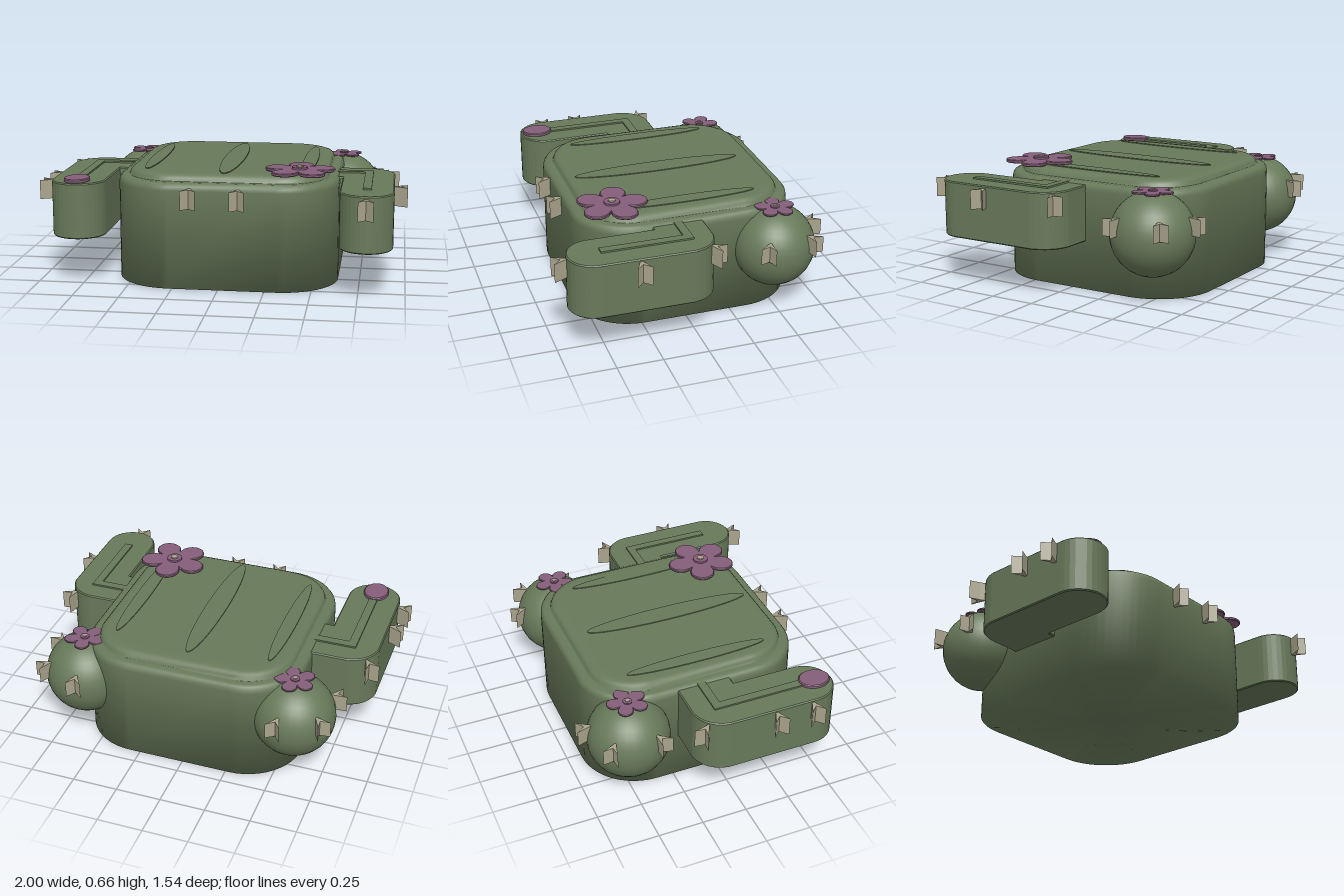
import * as THREE from 'three';

const mat = (name, color) => {
  const m = new THREE.MeshStandardMaterial({ color });
  m.name = name;
  return m;
};

export function createModel() {
  const root = new THREE.Group();
  root.name = 'cactusPad';
  const green = mat('cactusGreen', 0x687a5a);
  const purple = mat('petalPurple', 0x865e7a);
  const tan = mat('spineTan', 0xaaa58d);

  const add = (name, geometry, material, x = 0, y = 0, z = 0, parent = root) => {
    const mesh = new THREE.Mesh(geometry, material);
    mesh.name = name;
    mesh.position.set(x, y, z);
    parent.add(mesh);
    return mesh;
  };
  // Plan-view shape (x, -z) raised upwards
  const raise = (shape, depth, bevel = 0, curveSegments = 8) =>
    new THREE.ExtrudeGeometry(shape, {
      depth: depth - 2 * bevel, curveSegments, bevelEnabled: bevel > 0,
      bevelSize: bevel, bevelOffset: -bevel, bevelThickness: bevel, bevelSegments: 1,
    }).rotateX(-Math.PI / 2).translate(0, bevel, 0);

  // Body: rounded-square rings stacked by [inset, height], closed at both ends
  const profile = [
    [0, 0], [0, 0.54], [0.004, 0.56], [0.014, 0.574], [0.03, 0.58], [0.055, 0.58], [0.06, 0.582],
    [0.064, 0.598], [0.075, 0.611], [0.095, 0.618], [0.12, 0.619], [0.15, 0.619],
  ];
  const cx = 0.02, cz = -0.058, half = 0.611, radius = 0.32, steps = 12;
  const count = 4 * (steps + 1);
  const pos = [], index = [];
  for (const [inset, y] of profile) {
    for (let c = 0; c < 4; c++) {
      const mid = Math.PI / 4 + c * Math.PI / 2;
      const core = half - radius;
      for (let s = 0; s <= steps; s++) {
        const a = (c + s / steps) * Math.PI / 2;
        pos.push(cx + Math.sign(Math.cos(mid)) * core + Math.cos(a) * (radius - inset), y,
          cz - Math.sign(Math.sin(mid)) * core - Math.sin(a) * (radius - inset));
      }
    }
  }
  const bottom = pos.length / 3, top = bottom + 1, last = (profile.length - 1) * count;
  pos.push(cx, 0, cz, cx, 0.619, cz);
  for (let j = 0; j < count; j++) {
    const k = (j + 1) % count;
    for (let i = 0; i < profile.length - 1; i++) {
      const a = i * count + j, b = i * count + k;
      index.push(a, b, b + count, a, b + count, a + count);
    }
    index.push(k, j, bottom, last + j, last + k, top);
  }
  const bodyGeo = new THREE.BufferGeometry();
  bodyGeo.setAttribute('position', new THREE.Float32BufferAttribute(pos, 3));
  bodyGeo.setIndex(index);
  bodyGeo.computeVertexNormals();
  add('body', bodyGeo, green);

  // Long oval ribs on the top
  for (const [x, z, rx, rz] of [[-0.415, -0.04, 0.04, 0.4], [0.02, -0.03, 0.06, 0.475], [0.455, -0.04, 0.04, 0.4]]) {
    const oval = new THREE.Shape().absellipse(0, 0, rx, rz, 0, Math.PI * 2);
    add('topRib', raise(oval, 0.007, 0, 20), green, x, 0.617, z);
  }

  // Bent arms: s is the side, rest are plan limits
  const arm = (name, s, xIn, xOut, zBack, zFront, zBend) => {
    const r = (xOut - xIn) / 2, mid = (xIn + xOut) / 2, root0 = 0.5;
    const sh = new THREE.Shape();
    sh.moveTo(s * root0, -zBack);
    sh.lineTo(s * (xOut - r), -zBack);
    sh.quadraticCurveTo(s * (xOut - r * 0.15), -zBack - r * 0.15, s * xOut, -zBack - r);
    sh.lineTo(s * xOut, -zFront + r);
    sh.absarc(s * mid, -zFront + r, r, s > 0 ? 0 : Math.PI, s > 0 ? Math.PI : 0, s > 0);
    sh.lineTo(s * xIn, -zBend);
    sh.lineTo(s * root0, -zBend);
    add(name, raise(sh, 0.305, 0.006), green, 0, 0.263, 0);
    // Raised strip following the bend
    const w = 0.023, zs = zBack + 0.138, zEnd = zFront - 0.175;
    const strip = new THREE.Shape([
      [0.55, zs - w], [mid + w, zs - w], [mid + w, zEnd], [mid - w, zEnd], [mid - w, zs + w], [0.55, zs + w],
    ].map(([x, z]) => new THREE.Vector2(s * x, -z)));
    add(name + 'Strip', raise(strip, 0.012), green, 0, 0.565, 0);
  };
  arm('leftArm', 1, 0.645, 0.93, -0.09, 0.695, 0.19);
  arm('rightArm', -1, 0.63, 0.925, -0.22, 0.58, 0.08);

  // Bud on the tip of the right arm
  const bud = new THREE.Shape().absellipse(0, 0, 0.07, 0.086, 0, Math.PI * 2);
  add('bud', raise(bud, 0.022, 0.005, 16), purple, -0.777, 0.565, 0.48);

  // Five-petal flowers
  const flower = (x, y, z, R, turn) => {
    const g = new THREE.Group();
    g.name = 'flower';
    g.position.set(x, y, z);
    const pts = [];
    for (let i = 0; i < 90; i++) {
      const a = i / 90 * Math.PI * 2;
      const r = R * (0.48 + 0.52 * Math.abs(Math.cos(2.5 * a)) ** 0.6);
      pts.push(new THREE.Vector2(r * Math.cos(a + turn), r * Math.sin(a + turn)));
    }
    add('petals', raise(new THREE.Shape(pts), R * 0.09, R * 0.02), purple, 0, 0, 0, g);
    add('flowerRing', new THREE.CylinderGeometry(R * 0.22, R * 0.22, R * 0.07, 20), purple, 0, R * 0.11, 0, g);
    add('flowerCentre', new THREE.CylinderGeometry(R * 0.1, R * 0.1, R * 0.08, 12), tan, 0, R * 0.14, 0, g);
    root.add(g);
  };
  flower(0.42, 0.622, 0.35, 0.195, Math.PI / 2);

  // V-shaped spines: foot at (x, z), pointing along (dx, dz)
  const spineShape = new THREE.Shape(
    [[-0.014, 0.02], [0, -0.015], [0.014, 0.02], [0.04, 0.075], [0, 0.035], [-0.04, 0.075]]
      .map(([x, z]) => new THREE.Vector2(x, -z)));
  const spineGeo = raise(spineShape, 0.105);
  const spine = (x, y, z, dx, dz, h = 1) => {
    const m = add('spine', spineGeo, tan, x, y, z);
    m.rotation.y = Math.atan2(dx, dz);
    m.scale.y = h;
  };
  for (const [x, z, dx, dz] of [
    [-0.15, 0.55, 0, 1], [0.11, 0.55, 0, 1],
    [-0.88, -0.175, -0.6, -0.75], [-0.922, 0.19, -1, 0], [-0.922, 0.4, -1, 0],
    [0.875, -0.045, 0.6, -0.75], [0.924, 0.345, 1, 0], [0.787, 0.69, 0, 1],
  ]) spine(x, 0.45, z, dx, dz);

  // Round side pads with flowers and spines
  for (const s of [1, -1]) {
    const x = s > 0 ? 0.62 : -0.577, z = -0.5;
    add('roundPad', new THREE.SphereGeometry(0.225, 32, 20), green, x, 0.357, z);
    flower(x, 0.572, z, 0.112, s > 0 ? 1.75 : 1.4);
    for (const [dx, dz] of [[-0.15, -1], [0.77, -0.64], [0.88, 0.46]]) {
      const len = Math.hypot(dx, dz);
      spine(x + s * dx / len * 0.2, 0.37, z + dz / len * 0.2, s * dx, dz, 0.87);
    }
  }
  return root;
}
